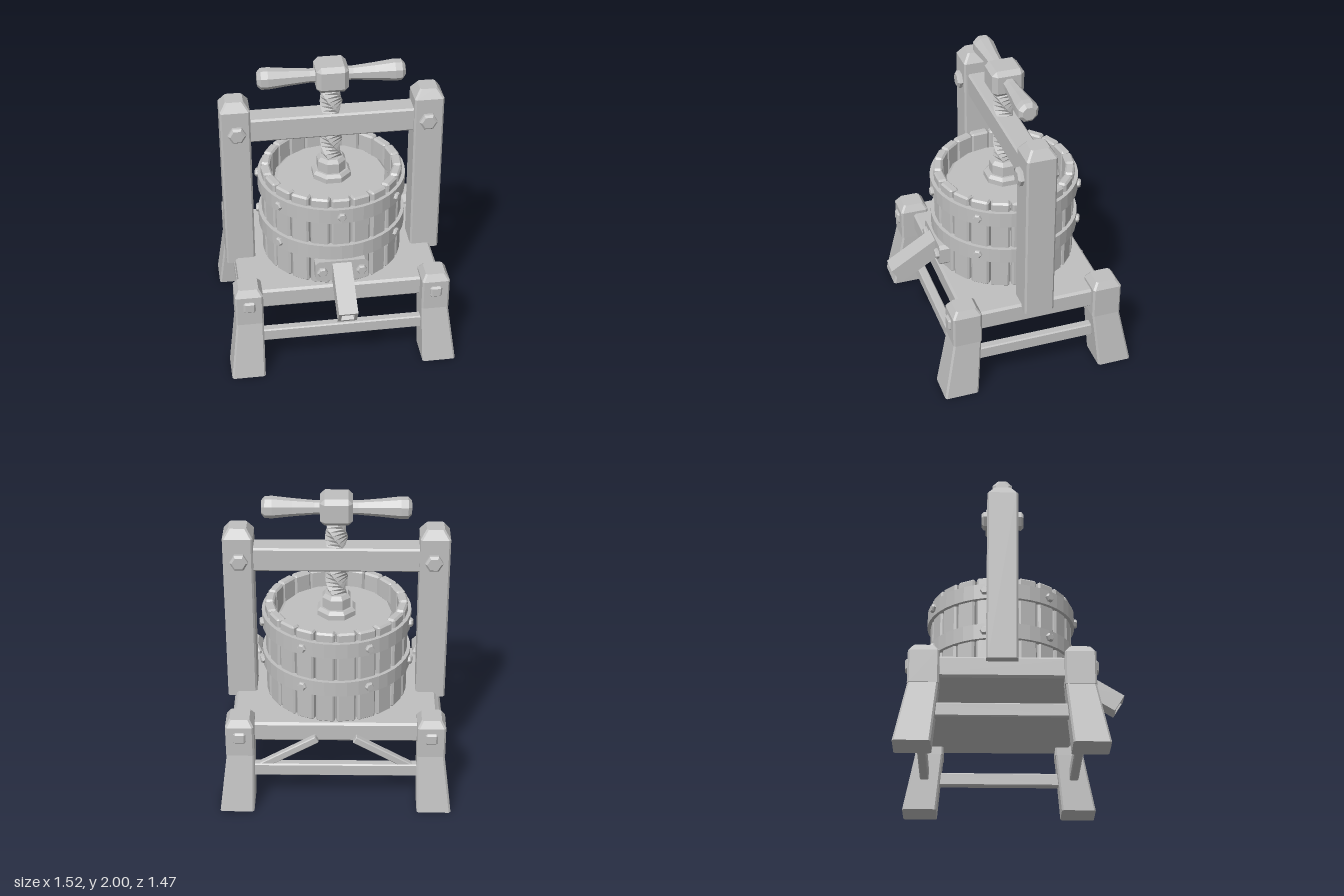
import * as THREE from 'three';
import { ConvexGeometry } from 'three/addons/geometries/ConvexGeometry.js';

export function createModel() {
  const model = new THREE.Group();
  model.name = 'fruitPress';
  const press = new THREE.Group();
  press.name = 'press';
  press.position.z = -0.075;
  model.add(press);

  const grey = new THREE.MeshStandardMaterial({ color: 0xc0c0c0, flatShading: true });
  grey.name = 'plain grey';

  const add = (name, geo, x = 0, y = 0, z = 0, parent = press) => {
    const m = new THREE.Mesh(geo, grey);
    m.name = name;
    m.position.set(x, y, z);
    parent.add(m);
    return m;
  };

  // Box with chamfered edges
  const chamferBox = (w, h, d, c = 0.012) => {
    const pts = [];
    for (const sx of [-1, 1]) for (const sy of [-1, 1]) for (const sz of [-1, 1]) {
      const x = w / 2, y = h / 2, z = d / 2;
      pts.push(new THREE.Vector3(sx * x, sy * (y - c), sz * (z - c)));
      pts.push(new THREE.Vector3(sx * (x - c), sy * y, sz * (z - c)));
      pts.push(new THREE.Vector3(sx * (x - c), sy * (y - c), sz * z));
    }
    return new ConvexGeometry(pts);
  };

  // Timber through rectangular sections [y, x centre, z centre, width, depth] with cut corners
  const timber = (sections, c = 0.012) => {
    const pts = [];
    for (const [y, cx, cz, w, d] of sections)
      for (const sx of [-1, 1]) for (const sz of [-1, 1]) {
        pts.push(new THREE.Vector3(cx + sx * w / 2, y, cz + sz * (d / 2 - c)));
        pts.push(new THREE.Vector3(cx + sx * (w / 2 - c), y, cz + sz * d / 2));
      }
    return new ConvexGeometry(pts);
  };

  // Hexagonal bolt head whose axis points along +z
  const hexBolt = (r, h) => {
    const profile = [[0, 0], [r, 0], [r, h * 0.65], [r * 0.75, h], [0, h]];
    return new THREE.LatheGeometry(profile.map(p => new THREE.Vector2(...p)), 6, Math.PI / 6 * 3)
      .rotateX(Math.PI / 2);
  };

  // Platform
  add('platform', chamferBox(1.34, 0.14, 0.98, 0.015), 0, 0.52, 0);

  // Legs: splayed foot, square head, peg
  for (const sx of [-1, 1]) for (const sz of [-1, 1]) {
    const leg = new THREE.Group();
    leg.name = 'leg';
    press.add(leg);
    add('foot', timber([
      [0, sx * 0.648, sz * 0.54, 0.225, 0.23],
      [0.4, sx * 0.62, sz * 0.482, 0.18, 0.188],
    ]), 0, 0, 0, leg);
    add('legHead', timber([
      [0.395, sx * 0.622, sz * 0.482, 0.185, 0.195],
      [0.61, sx * 0.622, sz * 0.482, 0.185, 0.195],
      [0.655, sx * 0.622, sz * 0.482, 0.13, 0.135],
    ]), 0, 0, 0, leg);
    add('peg', chamferBox(0.08, 0.08, 0.05), sx * 0.622, 0.535, sz * 0.572, leg);
  }

  // Stretchers and rear braces
  for (const s of [-1, 1]) {
    add('longStretcher', chamferBox(1.14, 0.09, 0.06, 0.008), 0, 0.255, s * 0.51);
    add('sideStretcher', chamferBox(0.06, 0.09, 0.92, 0.008), s * 0.63, 0.24, 0);
    const brace = add('brace', chamferBox(0.48, 0.05, 0.045, 0.006), s * 0.33, 0.37, -0.51);
    brace.rotation.z = -s * Math.PI / 6;
  }

  // Upright posts and bolts
  for (const s of [-1, 1]) {
    add('post', timber([
      [0.555, s * 0.632, 0, 0.195, 0.2],
      [1.725, s * 0.632, 0, 0.195, 0.2],
      [1.785, s * 0.632, 0, 0.115, 0.12],
    ]));
    for (const f of [-1, 1]) {
      const bolt = add('postBolt', hexBolt(0.06, 0.04), s * 0.625, 1.57, f * 0.095);
      bolt.rotation.y = f < 0 ? Math.PI : 0;
    }
  }
  add('crossbar', chamferBox(1.12, 0.165, 0.15), 0, 1.567, 0);

  // Basket staves
  const basket = new THREE.Group();
  basket.name = 'basket';
  press.add(basket);
  const staveGeo = chamferBox(0.124, 0.665, 0.062, 0.012);
  for (let i = 0; i < 21; i++) {
    const a = i / 21 * Math.PI * 2;
    add('stave', staveGeo, Math.sin(a) * 0.437, 0.917, Math.cos(a) * 0.437, basket).rotation.y = a;
  }

  // Basket bands with bolts
  const bandProfile = [[0.455, -0.052], [0.493, -0.052], [0.493, 0.052], [0.455, 0.052], [0.455, -0.052]];
  const bandGeo = new THREE.LatheGeometry(bandProfile.map(p => new THREE.Vector2(...p)), 42);
  for (const y of [0.853, 1.137]) {
    add('band', bandGeo, 0, y, 0, basket);
    for (let i = 0; i < 7; i++) {
      if (i === 0 && y < 1) continue;
      const a = i / 7 * Math.PI * 2;
      add('bandBolt', hexBolt(0.03, 0.026), Math.sin(a) * 0.488, y, Math.cos(a) * 0.488, basket).rotation.y = a;
    }
  }

  // Pressing disc and collar
  const disc = [[0, 1.06], [0.385, 1.06], [0.385, 1.135], [0.362, 1.155], [0, 1.155]];
  add('pressDisc', new THREE.LatheGeometry(disc.map(p => new THREE.Vector2(...p)), 16));
  const collar = [[0, 1.15], [0.135, 1.15], [0.135, 1.19], [0.115, 1.21], [0.1, 1.21],
    [0.1, 1.28], [0.08, 1.305], [0, 1.305]];
  add('collar', new THREE.LatheGeometry(collar.map(p => new THREE.Vector2(...p)), 8, Math.PI / 8));

  // Twisted screw
  const screwGeo = new THREE.CylinderGeometry(0.074, 0.074, 0.6, 4, 24);
  const p = screwGeo.attributes.position;
  for (let i = 0; i < p.count; i++) {
    const a = p.getY(i) * 11, x = p.getX(i), z = p.getZ(i);
    p.setXYZ(i, x * Math.cos(a) - z * Math.sin(a), p.getY(i), x * Math.sin(a) + z * Math.cos(a));
  }
  screwGeo.computeVertexNormals();
  add('screw', screwGeo, 0, 1.56, 0);

  // Turning handle
  add('handleHub', chamferBox(0.21, 0.18, 0.215, 0.03), 0, 1.91, 0);
  const grip = [[0, 0.06], [0.046, 0.06], [0.046, 0.14], [0.058, 0.28], [0.072, 0.41],
    [0.07, 0.455], [0.045, 0.478], [0, 0.478]];
  for (const s of [-1, 1]) {
    const g = new THREE.LatheGeometry(grip.map(q => new THREE.Vector2(...q)), 8, Math.PI / 8);
    add('handleGrip', g, 0, 1.91, 0).rotation.z = -s * Math.PI / 2;
  }

  // Spout plate with clipped corners
  const w = 0.175, h = 0.076, c = 0.022;
  const plateShape = new THREE.Shape([[-w + c, -h], [w - c, -h], [w, -h + c], [w, h - c],
    [w - c, h], [-w + c, h], [-w, h - c], [-w, -h + c]].map(q => new THREE.Vector2(...q)));
  add('spoutPlate', new THREE.ExtrudeGeometry(plateShape, { depth: 0.07, bevelEnabled: false }), 0, 0.72, 0.435);
  for (const s of [-1, 1]) add('spoutBolt', hexBolt(0.036, 0.03), s * 0.13, 0.72, 0.5);

  // Hollow square spout, sloping down to the front
  const square = (r, T) => new T([[-r, -r], [r, -r], [r, r], [-r, r]].map(q => new THREE.Vector2(...q)));
  const tube = square(0.063, THREE.Shape);
  tube.holes.push(square(0.043, THREE.Path));
  const spout = new THREE.Group();
  spout.name = 'spout';
  spout.position.set(0, 0.727, 0.472);
  spout.rotation.x = 0.555;
  press.add(spout);
  add('spoutTube', new THREE.ExtrudeGeometry(tube, { depth: 0.36, bevelEnabled: false }), 0, 0, 0, spout);
  add('spoutBack', new THREE.BoxGeometry(0.1, 0.1, 0.02), 0, 0, 0.06, spout);

  return model;
}
